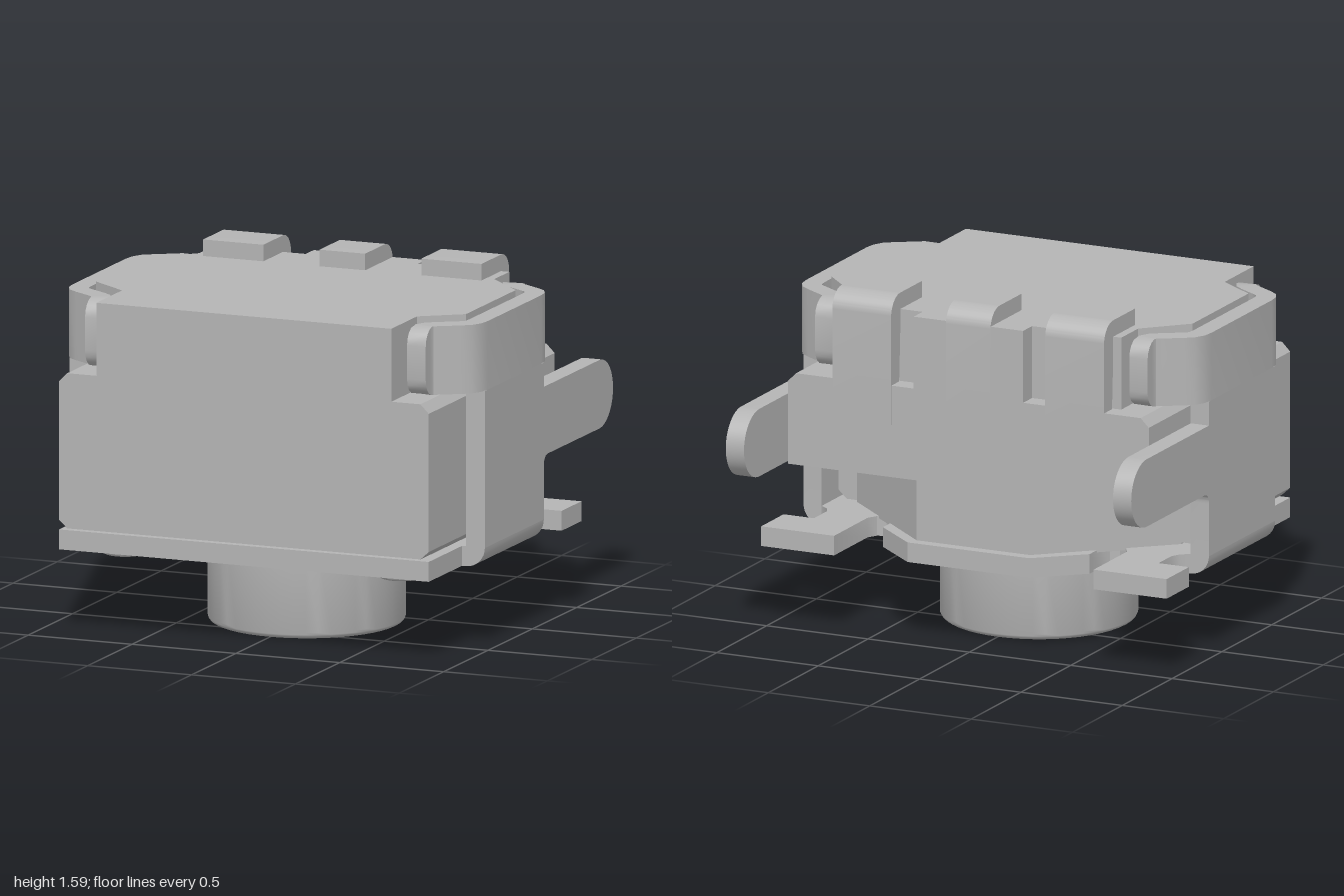
import * as THREE from 'three';
import { toCreasedNormals } from 'three/addons/utils/BufferGeometryUtils.js';

const grey = new THREE.MeshStandardMaterial({ color: 0xb4b4b4 });
grey.name = 'light grey';

// outline from points
const outline = (pts) => new THREE.Shape(pts.map(([a, b]) => new THREE.Vector2(a, b)));
const extrude = (shape, depth) =>
  new THREE.ExtrudeGeometry(shape, { depth, bevelEnabled: false, curveSegments: 12 });
// complete a half outline (x >= 0) by mirroring
const mirror = (half) => [...half, ...half.slice().reverse().filter(p => p[0] > 0).map(([x, b]) => [-x, b])];
// plan outline [x, z] raised from y0 to y1
const slab = (pts, y0, y1) =>
  extrude(outline(pts.map(([x, z]) => [x, -z])), y1 - y0).rotateX(-Math.PI / 2).translate(0, y0, 0);
// side outline (z, y) spanning x0 to x1
const prism = (shape, x0, x1) => extrude(shape, x1 - x0).rotateY(-Math.PI / 2).translate(x1, 0, 0);
// upright pin with a rounded lower rim
function pin(r, y0, y1, fillet) {
  const pts = [[0, y0]];
  for (let i = 0; i <= 5; i++) {
    const a = i / 5 * Math.PI / 2;
    pts.push([r - fillet + fillet * Math.sin(a), y0 + fillet - fillet * Math.cos(a)]);
  }
  pts.push([r, y1], [0, y1]);
  return new THREE.LatheGeometry(pts.map(p => new THREE.Vector2(...p)), 48);
}

// bent strip clip: rectangular sections lofted along a plan path, rounded ends
function clipGeometry() {
  const half = [[0.775, 0.78], [0.775, 0.774], [0.775, 0.76], [0.775, 0.735], [0.777, 0.70], [0.79, 0.672],
    [0.82, 0.65], [0.90, 0.60], [0.935, 0.575], [0.95, 0.545], [0.955, 0.50]];
  const path = [...half, ...half.slice().reverse().map(([x, z]) => [x, 0.4 - z])];
  const r = 0.08, t = 0.045, pos = [], idx = [], n = path.length;
  path.forEach(([x, z], i) => {
    const a = path[Math.max(i - 1, 0)], b = path[Math.min(i + 1, n - 1)];
    const dx = b[0] - a[0], dz = b[1] - a[1], l = Math.hypot(dx, dz);
    const nx = -dz / l * t, nz = dx / l * t;
    const s = Math.min(r, 0.58 - Math.abs(z - 0.2));
    const h = 0.155 - r + Math.sqrt(Math.max(0, r * r - (r - s) ** 2));
    for (const [k, v] of [[1, -1], [1, 1], [-1, 1], [-1, -1]])
      pos.push(x + k * nx, 1.335 + v * h, z + k * nz);
  });
  for (let i = 0; i < n - 1; i++)
    for (let k = 0; k < 4; k++) {
      const a = i * 4 + k, b = i * 4 + (k + 1) % 4;
      idx.push(a, a + 4, b, b, a + 4, b + 4);
    }
  const e = (n - 1) * 4;
  idx.push(0, 1, 2, 0, 2, 3, e, e + 2, e + 1, e, e + 3, e + 2);
  const g = new THREE.BufferGeometry();
  g.setAttribute('position', new THREE.Float32BufferAttribute(pos, 3));
  g.setIndex(idx);
  return g;
}

// side plate with the long rounded arm pointing backwards
function sidePlateShape() {
  const s = new THREE.Shape();
  s.moveTo(0.535, 0.47);
  s.lineTo(0.535, 1.18);
  s.lineTo(-0.13, 1.18);
  s.lineTo(-0.13, 1.07);
  s.lineTo(-0.755, 1.07);
  s.absarc(-0.755, 0.915, 0.155, Math.PI / 2, Math.PI * 1.5, false);
  s.lineTo(-0.18, 0.76);
  s.quadraticCurveTo(-0.13, 0.76, -0.13, 0.71);
  s.lineTo(-0.13, 0.47);
  return s;
}

// hook tab folded over the back top edge
function tabShape() {
  const s = new THREE.Shape();
  s.moveTo(-0.2, 1.505);
  s.lineTo(-0.2, 1.585);
  s.lineTo(-0.42, 1.585);
  s.absarc(-0.42, 1.493, 0.092, Math.PI / 2, Math.PI, false);
  s.lineTo(-0.512, 1.0);
  s.lineTo(-0.44, 1.0);
  s.lineTo(-0.415, 1.505);
  return s;
}

export function createModel() {
  const model = new THREE.Group();
  model.name = 'pushSwitch';
  const add = (name, geometry) => {
    const mesh = new THREE.Mesh(toCreasedNormals(geometry, 0.6), grey);
    mesh.name = name;
    model.add(mesh);
  };

  // housing: lower block, rear shelf, chamfered rear core, stepped top
  add('lowerHousing', extrude(outline(mirror([
    [0, 0.478], [0.85, 0.478], [0.89, 0.515], [0.89, 1.14], [0.85, 1.18], [0, 1.18]])), 0.91).translate(0, 0, 0));
  add('rearHousing', extrude(outline(mirror([
    [0, 0.76], [0.89, 0.76], [0.89, 1.14], [0.85, 1.18], [0, 1.18]])), 0.51).translate(0, 0, -0.51));
  add('rearCore', slab(mirror([[0, 0.02], [0.8, 0.02], [0.8, 0], [0.28, -0.46], [0, -0.46]]), 0.46, 0.77));
  add('upperHousing', slab(mirror([
    [0, 0.91], [0.71, 0.91], [0.71, 0.62], [0.89, 0.49], [0.89, -0.07],
    [0.71, -0.25], [0.71, -0.42], [0.27, -0.42], [0.27, -0.51], [0, -0.51]]), 1.17, 1.51));

  // base plate with two rear feet
  add('basePlate', slab(mirror([
    [0, 0.91], [0.89, 0.91], [0.89, 0.535], [0.91, 0.535], [0.91, -0.13], [0.87, -0.16], [0.85, -0.2],
    [0.85, -0.33], [1, -0.33], [1, -0.555], [0.64, -0.555], [0.64, -0.22], [0.615, -0.175], [0.575, -0.16],
    [0.535, -0.175], [0.51, -0.22], [0.51, -0.33], [0.3, -0.51], [0, -0.51]]), 0.38, 0.47));

  // folded tabs along the back
  for (const [i, [a, b]] of [[-0.67, -0.38], [-0.11, 0.11], [0.38, 0.67]].entries())
    add('backTab' + (i + 1), prism(tabShape(), a, b));

  // side frames
  for (const s of [1, -1]) {
    const side = s > 0 ? 'left' : 'right';
    add(side + 'SidePlate', prism(sidePlateShape(), s > 0 ? 0.91 : -1, s > 0 ? 1 : -0.91));
    const bend = [[s * 0.91, 0.47]];
    for (let i = 0; i <= 8; i++) {
      const a = i / 8 * Math.PI / 2;
      bend.push([s * (0.91 + 0.09 * Math.sin(a)), 0.47 - 0.09 * Math.cos(a)]);
    }
    add(side + 'Bend', extrude(outline(bend), 0.665).translate(0, 0, -0.13));
    const clip = clipGeometry();
    if (s < 0) clip.rotateY(Math.PI).translate(0, 0, 0.4);
    add(side + 'Clip', clip);
    add(side + 'LocatingPin', pin(0.11, 0.34, 0.39, 0.025).translate(s * 0.665, 0, 0.69));
  }

  // push button underneath
  add('button', pin(0.44, 0, 0.39, 0.03).translate(0, 0, 0.2));
  return model;
}
